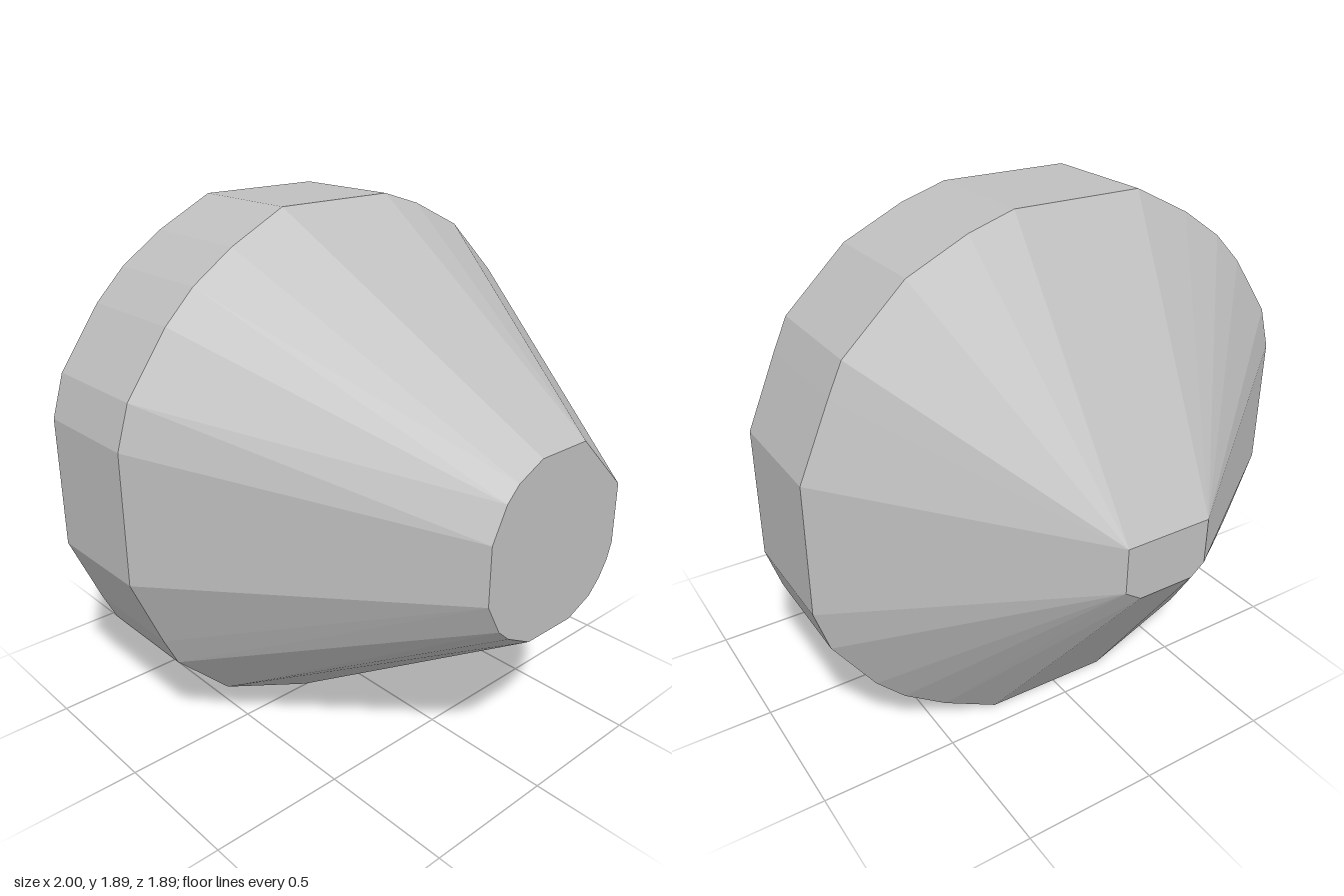
import * as THREE from 'three';
import { ConvexGeometry } from 'three/addons/geometries/ConvexGeometry.js';

// Cross-sections as [z, y] corners, running around the x axis
const GIRDLE = [
  [0.27, 1.895], [-0.20, 1.895], [-0.36, 1.845], [-0.57, 1.745], [-0.785, 1.54], [-0.835, 1.43],
  [-0.945, 1.17], [-0.945, 0.70], [-0.895, 0.545], [-0.745, 0.33], [-0.64, 0.225], [-0.48, 0.115],
  [-0.27, 0.005], [0.21, 0], [0.58, 0.16], [0.785, 0.36], [0.838, 0.47], [0.948, 0.73],
  [0.948, 1.205], [0.90, 1.36], [0.745, 1.575], [0.635, 1.685], [0.48, 1.79],
];
const WIDE_END = [
  [0.115, 1.265], [-0.095, 1.265], [-0.305, 1.06], [-0.305, 0.845], [-0.285, 0.785], [-0.25, 0.73],
  [-0.20, 0.68], [-0.095, 0.635], [0.115, 0.635], [0.22, 0.69], [0.27, 0.735],
  [0.328, 0.845], [0.328, 1.05], [0.27, 1.165], [0.22, 1.215],
];
const NARROW_END = [
  [-0.165, 1], [0.15, 1], [0.15, 0.84], [0.10, 0.80], [-0.105, 0.80], [-0.165, 0.84],
];

// Place a section at x; lean tilts it very slightly
const section = (corners, x, lean = 0) =>
  corners.map(([z, y]) => new THREE.Vector3(x - lean * z, y, z));

export function createModel() {
  const group = new THREE.Group();
  group.name = 'facetedStone';
  const stone = new THREE.MeshStandardMaterial({ color: 0xbfbfbf, flatShading: true });
  stone.name = 'stone grey';

  // Narrow tip, straight girdle band and wide blunt tip as one faceted body
  const body = new THREE.Mesh(new ConvexGeometry([
    ...section(NARROW_END, -1),
    ...section(GIRDLE, -0.422, 0.008),
    ...section(GIRDLE, -0.002, 0.008),
    ...section(WIDE_END, 0.998),
  ]), stone);
  body.name = 'body';
  group.add(body);
  return group;
}
